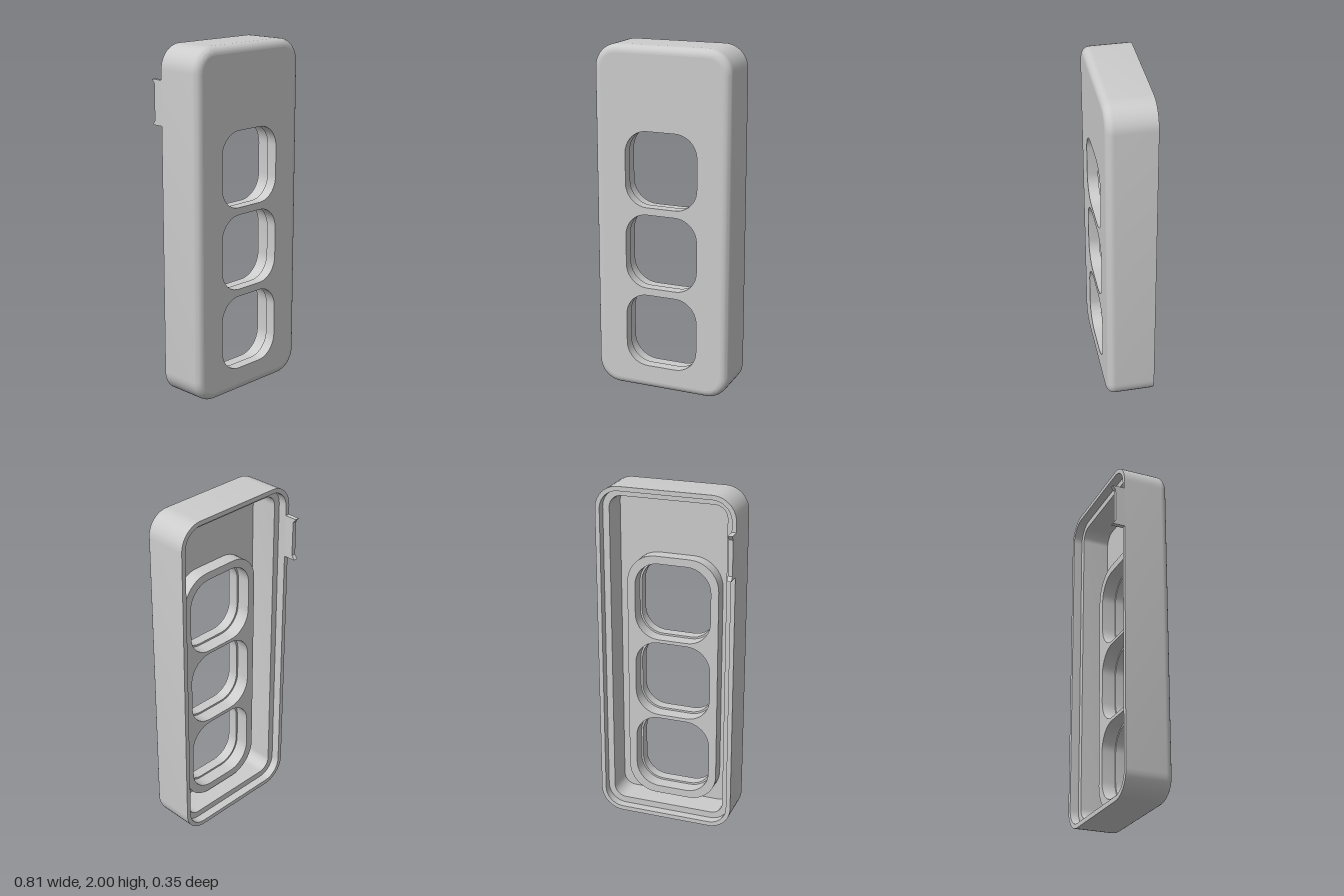
import * as THREE from 'three';
import { toCreasedNormals } from 'three/addons/utils/BufferGeometryUtils.js';

const ARC = 10; // segments per rounded corner

// Counter-clockwise rounded rectangle; a positive inset shrinks it
function outline({ cy, hw, hh, r }, inset = 0) {
  const pts = [];
  const rad = Math.max(r - inset, 0.01);
  const w = hw - inset - rad, h = hh - inset - rad;
  [[1, 1], [-1, 1], [-1, -1], [1, -1]].forEach(([sx, sy], q) => {
    for (let i = 0; i <= ARC; i++) {
      const a = (q + i / ARC) * Math.PI / 2;
      pts.push(new THREE.Vector2(sx * w + rad * Math.cos(a), cy + sy * h + rad * Math.sin(a)));
    }
  });
  return pts;
}

// Sweeps a profile of [inset, z] steps around a rounded rectangle
function band(rect, profile) {
  const pos = [], idx = [];
  const n = 4 * (ARC + 1);
  profile.forEach(([inset, z], k) => {
    outline(rect, inset).forEach((p, i) => {
      pos.push(p.x, p.y, z);
      if (k === 0) return;
      const j = (i + 1) % n, a = (k - 1) * n, b = k * n;
      idx.push(a + i, a + j, b + j, a + i, b + j, b + i);
    });
  });
  const g = new THREE.BufferGeometry();
  g.setAttribute('position', new THREE.Float32BufferAttribute(pos, 3));
  g.setIndex(idx);
  return toCreasedNormals(g, 0.6);
}

// Flat plate with openings, facing the front or the back
function face(points, holes, z, back = false) {
  const shape = new THREE.Shape(points);
  holes.forEach(h => shape.holes.push(new THREE.Path(h)));
  const g = new THREE.ShapeGeometry(shape);
  if (back) g.rotateY(Math.PI);
  return g.translate(0, 0, z);
}

export function createModel() {
  const group = new THREE.Group();
  const material = new THREE.MeshStandardMaterial({ color: 0xcccccc });
  const add = (name, geometry) => {
    const mesh = new THREE.Mesh(geometry, material);
    mesh.name = name;
    group.add(mesh);
  };

  const body = { cy: 1, hw: 0.404, hh: 1, r: 0.135 };
  const frame = { cy: 0.836, hw: 0.272, hh: 0.75, r: 0.17 };
  const windows = [0.36, 0.837, 1.313].map(cy => ({ cy, hw: 0.215, hh: 0.217, r: 0.13 }));
  const front = 0.173, floor = 0.11, frameBack = 0.03, rim = -0.1;
  const fillet = 0.045, wall = 0.064, lip = 0.026, recess = -0.011;

  // Shell: inner wall, stepped rim, outer wall and rounded front edge
  const profile = [[wall, floor], [wall, rim + 0.05], [lip, rim + 0.05], [lip, rim], [0, rim]];
  for (let i = 0; i <= 8; i++) {
    const a = i / 8 * Math.PI / 2;
    profile.push([fillet * (1 - Math.cos(a)), front - fillet * (1 - Math.sin(a))]);
  }
  add('shell', band(body, profile));

  // Front plate and the inner floor behind it
  add('frontFace', face(outline(body, fillet), windows.map(w => outline(w)), front));
  add('innerFloor', face(outline(body, wall), [outline(frame)], floor, true));

  // Raised frame around the windows
  add('windowFrameSide', band(frame, [[0, frameBack], [0, floor]]));
  add('windowFrameBack', face(outline(frame), windows.map(w => outline(w, recess)), frameBack, true));

  // Window openings, stepped wider towards the back
  windows.forEach((w, i) => add(`windowOpening${i + 1}`,
    band(w, [[0, front], [0, floor], [recess, floor], [recess, frameBack]])));

  // Snap tab on the right edge, with flared tips
  const tab = new THREE.Shape();
  tab.moveTo(0.09, 1.56);
  tab.lineTo(0.173, 1.56);
  tab.lineTo(0.155, 1.585);
  tab.lineTo(0.155, 1.785);
  tab.lineTo(0.173, 1.81);
  tab.lineTo(0.09, 1.81);
  const tabGeometry = new THREE.ExtrudeGeometry(tab, { depth: lip, bevelEnabled: false });
  tabGeometry.rotateY(Math.PI / 2).translate(-body.hw, 0, 0);
  add('snapTab', tabGeometry);

  return group;
}
